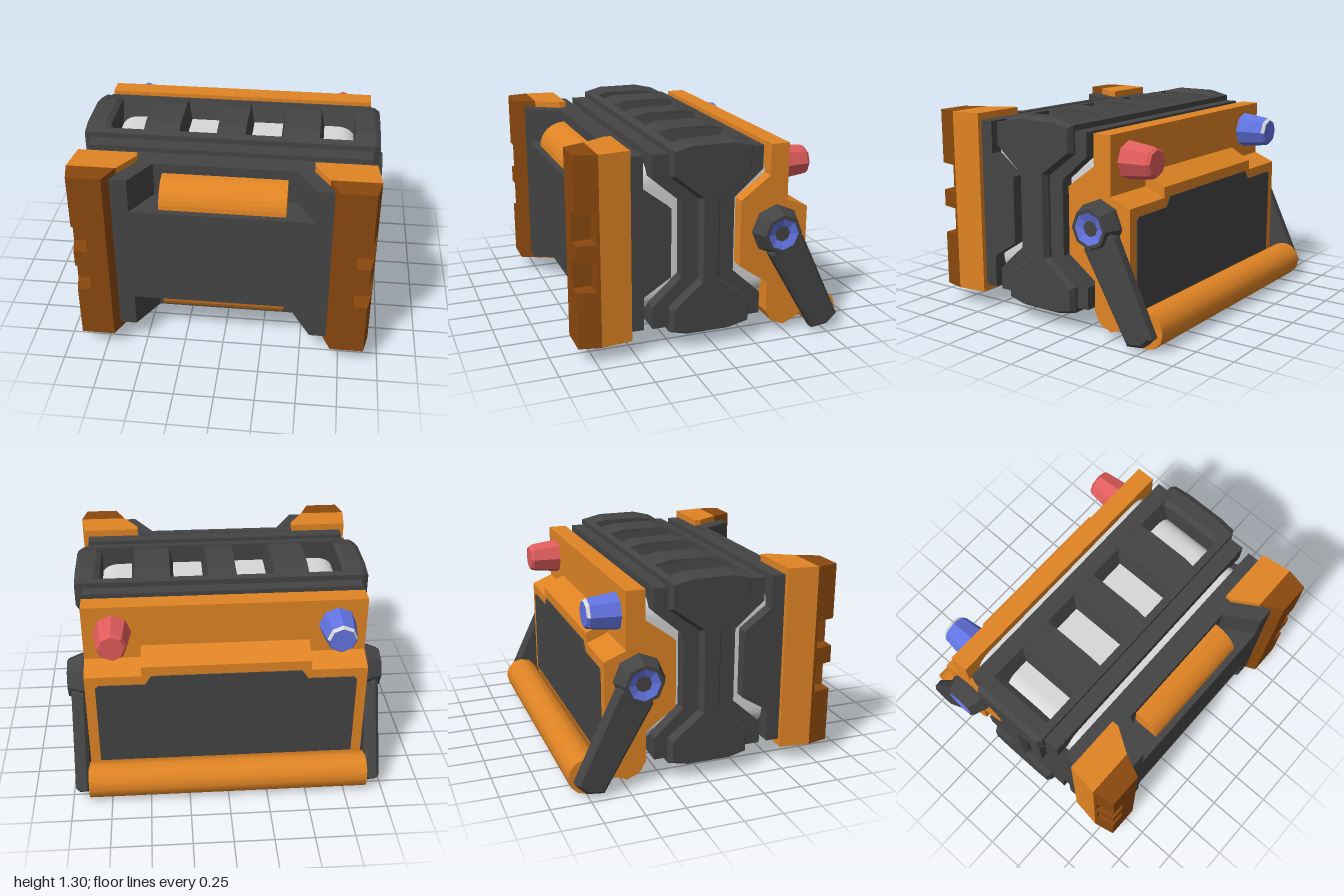
import * as THREE from 'three';

const mat = (name, color) => {
  const m = new THREE.MeshStandardMaterial({ color });
  m.name = name;
  return m;
};

export function createModel() {
  const root = new THREE.Group();
  root.name = 'supplyCrate';
  const orange = mat('orange', 0xe08424), brown = mat('brown', 0x8a480e);
  const dark = mat('darkGrey', 0x444444), grey = mat('lightGrey', 0xd8d8d8);
  const blue = mat('blue', 0x6274e2), red = mat('red', 0xe05c5c);

  const add = (name, geo, material) => {
    const mesh = new THREE.Mesh(geo, material);
    mesh.name = name;
    root.add(mesh);
    return mesh;
  };
  const outline = (pts) => new THREE.Shape(pts.map(([a, b]) => new THREE.Vector2(a, b)));
  const extrude = (shape, depth, bevel, size) => {
    const g = new THREE.ExtrudeGeometry(shape, {
      depth: depth - 2 * bevel, bevelEnabled: bevel > 0, bevelThickness: bevel,
      bevelSize: size, bevelOffset: -size, bevelSegments: 1,
    });
    return g.translate(0, 0, bevel);
  };
  // side profile of [z, y] points pushed along x
  const alongX = (pts, x0, x1, bevel = 0, size = 0) =>
    extrude(outline(pts.map(([z, y]) => [-z, y])), x1 - x0, bevel, size)
      .rotateY(Math.PI / 2).translate(x0, 0, 0);
  // plan of [x, z] points pushed along y
  const alongY = (pts, y0, y1) =>
    extrude(outline(pts), y1 - y0, 0, 0).rotateX(Math.PI / 2).translate(0, y1, 0);
  const box = (x0, x1, y0, y1, z0, z1) =>
    new THREE.BoxGeometry(x1 - x0, y1 - y0, z1 - z0)
      .translate((x0 + x1) / 2, (y0 + y1) / 2, (z0 + z1) / 2);
  const lathe = (pts, sides, start = 0, sweep = Math.PI * 2) => {
    const g = new THREE.LatheGeometry(pts.map(([r, y]) => new THREE.Vector2(r, y)), sides, start, sweep)
      .toNonIndexed();
    g.computeVertexNormals();
    return g;
  };
  const range = (s, a, b) => (s > 0 ? [a, b] : [-b, -a]);

  // inner canister with rounded long edges
  const r = 0.14, w = 0.8, y0 = 0.22, y1 = 1.16;
  const core = new THREE.Shape();
  core.moveTo(-w + r, y0).lineTo(w - r, y0).quadraticCurveTo(w, y0, w, y0 + r)
    .lineTo(w, y1 - r).quadraticCurveTo(w, y1, w - r, y1)
    .lineTo(-w + r, y1).quadraticCurveTo(-w, y1, -w, y1 - r)
    .lineTo(-w, y0 + r).quadraticCurveTo(-w, y0, -w + r, y0);
  add('core', extrude(core, 0.95, 0, 0).translate(0, 0, -0.45), grey);

  // hourglass side plates of the two stacked bands
  const outerSide = [[0.166, 1.3], [-0.1, 1.3], [-0.235, 1.27], [-0.235, 1.1], [-0.035, 0.95],
    [-0.035, 0.44], [-0.235, 0.28], [-0.235, 0.12], [-0.1, 0.09], [0.166, 0.09], [0.286, 0.12],
    [0.286, 0.28], [0.1, 0.44], [0.1, 0.95], [0.286, 1.1], [0.286, 1.27]];
  const innerSide = [[0.387, 1.235], [-0.318, 1.235], [-0.318, 1.09], [-0.134, 0.93], [-0.134, 0.46],
    [-0.318, 0.29], [-0.318, 0.15], [0.387, 0.15], [0.387, 0.29], [0.2, 0.46], [0.2, 0.93], [0.387, 1.09]];
  for (const s of [1, -1]) {
    add('outerBandSide', alongX(outerSide, ...range(s, 0.775, 0.935), 0.035, 0.02), dark);
    add('innerBandSide', alongX(innerSide, ...range(s, 0.79, 0.885)), dark);
  }

  // band tops: rails front and back, with pillars between the four windows
  add('innerRailFront', box(-0.82, 0.82, 1.1, 1.235, 0.24, 0.387), dark);
  add('innerRailBack', box(-0.82, 0.82, 1.1, 1.235, -0.318, -0.195), dark);
  add('outerRailFront', alongX([[0.286, 1.27], [0.24, 1.282], [0.24, 1.12], [0.286, 1.12]], -0.82, 0.82), dark);
  add('outerRailBack', alongX([[-0.235, 1.27], [-0.195, 1.28], [-0.14, 1.12], [-0.235, 1.12]], -0.82, 0.82), dark);
  for (const [cx, half] of [[-0.443, 0.113], [0, 0.09], [0.443, 0.113]]) {
    const g = alongX([[0.286, 1.27], [0.166, 1.3], [-0.1, 1.3], [-0.235, 1.27], [-0.235, 1.13], [0.286, 1.13]],
      -half, half);
    const p = g.attributes.position;
    for (let i = 0; i < p.count; i++) {
      if (p.getY(i) < 1.2) p.setX(i, p.getX(i) + Math.sign(p.getX(i)) * 0.03);
    }
    g.computeVertexNormals();
    add('windowPillar', g.translate(cx, 0, 0), dark);
  }
  // band undersides
  add('innerBandBottom', box(-0.82, 0.82, 0.15, 0.27, -0.318, 0.387), dark);
  add('outerBandBottom', alongX([[0.286, 0.25], [0.286, 0.12], [0.166, 0.09], [-0.1, 0.09],
    [-0.235, 0.12], [-0.235, 0.25]], -0.82, 0.82), dark);

  // front block
  add('frontBlock', alongX([[0.535, 1.235], [0.44, 1.235], [0.44, 1.03], [0.267, 0.9], [0.267, 0.47],
    [0.44, 0.36], [0.44, 0.15], [0.535, 0.15]], -0.88, 0.88), dark);
  add('frontPanel', box(-0.67, 0.67, 0.37, 1.02, 0.53, 0.79), dark);

  // recesses above and below the front panel, each with a rounded handle
  for (const [a, b, base, dir] of [[1.02, 1.24, 1.02, 1], [0.15, 0.37, 0.37, -1]]) {
    add('recessBack', box(-0.5, 0.5, a, b, 0.53, 0.58), dark);
    for (const s of [1, -1]) {
      add('recessCheek', alongY([[0.44, 0.53], [0.44, 0.58], [0.56, 0.79], [0.67, 0.79], [0.67, 0.53]]
        .map(([x, z]) => [x * s, z]), a, b), dark);
    }
    const pts = [[0.57, base]];
    for (let i = 0; i <= 8; i++) {
      const t = (i / 8) * Math.PI / 2;
      pts.push([0.58 + 0.17 * Math.cos(t), base + dir * 0.157 * Math.sin(t)]);
    }
    pts.push([0.57, base + dir * 0.157]);
    add('frontHandle', alongX(pts, -0.385, 0.385), orange);
  }

  // corner posts with two notches in the outer front edge
  const postBase = [[0.54, 0.525], [0.91, 0.525], [0.935, 0.72], [0.635, 0.72], [0.54, 0.57]];
  const postFull = [[0.635, 0.72], [0.935, 0.72], [0.905, 0.857], [0.695, 0.857]];
  const postCut = [[0.635, 0.72], [0.935, 0.72], [0.931, 0.74], [0.82, 0.74], [0.82, 0.857], [0.695, 0.857]];
  const levels = [0.105, 0.46, 0.64, 0.75, 0.93, 1.28];
  for (const s of [1, -1]) {
    const flip = (pts) => pts.map(([x, z]) => [x * s, z]);
    add('postBase', alongY(flip(postBase), 0.105, 1.28), orange);
    for (let i = 0; i < 5; i++) {
      add('postFront', alongY(flip(i % 2 ? postCut : postFull), levels[i], levels[i + 1]), brown);
    }
  }

  // back block, ledge between the lamps and dark back panel
  add('backBlock', alongX([[-0.37, 1.235], [-0.37, 1.04], [-0.18, 0.9], [-0.18, 0.48], [-0.37, 0.345],
    [-0.37, 0.15], [-0.41, 0.08], [-0.49, 0.045], [-0.6, 0.09], [-0.627, 0.16], [-0.627, 0.82],
    [-0.49, 0.875], [-0.49, 1.235]], -0.885, 0.885), orange);
  add('backLedge', alongX([[-0.48, 0.96], [-0.49, 0.96], [-0.627, 0.885], [-0.627, 0.8], [-0.48, 0.8]],
    -0.53, 0.53), orange);
  const panel = outline([[-0.82, 0.18], [0.82, 0.18], [0.82, 0.74], [0.8, 0.76], [0.51, 0.76], [0.47, 0.82],
    [-0.47, 0.82], [-0.51, 0.76], [-0.8, 0.76], [-0.82, 0.74]]);
  add('backPanel', extrude(panel, 0.008, 0, 0).translate(0, 0, -0.633), dark);

  // lamps
  const lamp = (name, x, pts, material, start, sweep, sides = 8) =>
    add(name, lathe(pts, sides, start, sweep).rotateX(-Math.PI / 2).translate(x, 1.065, -0.49), material);
  const body = [[0.118, 0], [0.095, 0.18]], rim = [[0.095, 0.18], [0.08, 0.2]], cap = [[0.08, 0.2], [0, 0.2]];
  lamp('redLamp', 0.7, [...body, ...rim.slice(1), ...cap.slice(1)], red);
  lamp('blueLamp', -0.7, body, blue);
  lamp('blueLampCap', -0.7, cap, blue);
  lamp('blueLampRimLower', -0.7, rim, blue, Math.PI / 2, Math.PI, 4);
  lamp('blueLampRimUpper', -0.7, rim, grey, -Math.PI / 2, Math.PI, 4);

  // swinging carry bar with arms and pivots
  add('carryBar', new THREE.CylinderGeometry(0.115, 0.115, 1.78, 12).rotateZ(Math.PI / 2)
    .translate(0, 0.115, -0.745), orange);
  const arm = [[-0.35, 0.553], [-0.659, 0.023], [-0.77, 0.037], [-0.834, 0.1], [-0.567, 0.66], [-0.415, 0.78]];
  for (const s of [1, -1]) {
    add('barArm', alongX(arm, ...range(s, 0.885, 0.978), 0.02, 0.02), dark);
    const turn = (g) => g.rotateX(0).rotateZ(-s * Math.PI / 2).translate(0, 0.695, -0.415);
    add('pivotHub', turn(lathe([[0.16, 0.87], [0.158, 0.91], [0.122, 1], [0.1, 1]], 8)), dark);
    add('pivotRing', turn(lathe([[0.1, 1], [0.05, 0.982]], 8)), blue);
    add('pivotCentre', turn(lathe([[0.05, 0.982], [0, 0.982]], 8)), dark);
  }
  return root;
}
